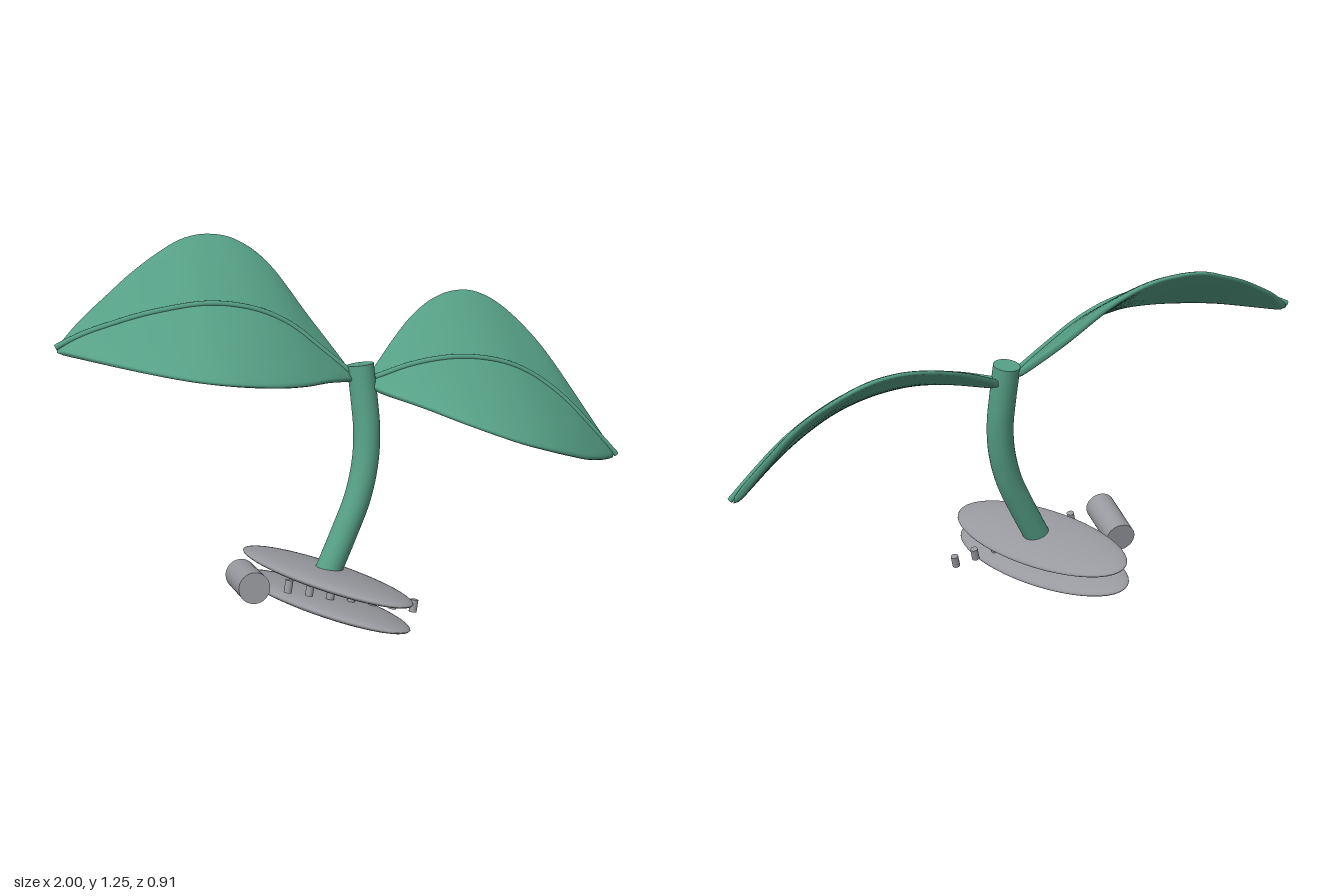
import * as THREE from 'three';

const V = (x, y, z) => new THREE.Vector3(x, y, z);
const UP = V(0, 1, 0);

// Edge rows from stem to tip: x, front y, front z, back y, back z
const LEFT_ROWS = [
  [0.98, 0.45, 0.04, 0.455, 0.035], [0.9, 0.48, 0.13, 0.62, -0.1], [0.8, 0.52, 0.225, 0.81, -0.26],
  [0.7, 0.565, 0.295, 0.93, -0.375], [0.6, 0.607, 0.34, 0.99, -0.41], [0.5, 0.645, 0.355, 1.003, -0.395],
  [0.4, 0.683, 0.335, 0.985, -0.35], [0.3, 0.718, 0.28, 0.945, -0.275], [0.2, 0.748, 0.18, 0.89, -0.175],
  [0.1, 0.77, 0.06, 0.825, -0.07], [0.055, 0.785, -0.01, 0.795, -0.03],
].reverse();
const RIGHT_ROWS = [
  [0.01, 0.805, -0.01, 0.815, -0.03], [-0.1, 0.84, 0.1, 0.99, -0.22], [-0.2, 0.86, 0.19, 1.15, -0.37],
  [-0.3, 0.88, 0.255, 1.23, -0.435], [-0.4, 0.9, 0.293, 1.255, -0.45], [-0.5, 0.918, 0.305, 1.247, -0.425],
  [-0.6, 0.932, 0.28, 1.21, -0.37], [-0.7, 0.945, 0.225, 1.165, -0.295], [-0.8, 0.957, 0.15, 1.11, -0.21],
  [-0.9, 0.965, 0.05, 1.05, -0.13], [-0.99, 0.972, -0.045, 0.98, -0.055],
];

// Curved plate with rounded rims plus a raised midrib
function makeLeaf(name, rows, ribStart, ribEnd, material) {
  const N = 64, M = 48, T = 0.015;
  const spline = (pts) => new THREE.CatmullRomCurve3(pts, false, 'catmullrom', 0.5);
  const front = spline(rows.map((r) => V(r[0], r[1], r[2])));
  const back = spline(rows.map((r) => V(r[0], r[3], r[4])));
  const across = V(0, 0.43, -0.9);
  const flip = rows[0][0] > rows[rows.length - 1][0];
  const pos = [], index = [], ribPts = [];
  for (let i = 0; i <= N; i++) {
    const t = i / N;
    const f = front.getPoint(t), b = back.getPoint(t);
    const normal = front.getTangent(t).add(back.getTangent(t)).cross(across).normalize();
    if (normal.y < 0) normal.negate();
    const thick = T * Math.pow(Math.max(0, 1 - Math.pow(Math.abs(2 * t - 1), 24)), 0.5);
    for (let j = 0; j < M; j++) {
      const a = (j / M) * Math.PI * 2, s = Math.sin(a);
      const h = thick * Math.sign(s) * Math.pow(Math.abs(s), 0.45);
      const p = f.clone().lerp(b, 0.5 - 0.5 * Math.cos(a)).addScaledVector(normal, h);
      pos.push(p.x, p.y, p.z);
      if (i < N) {
        const k = (j + 1) % M;
        const A = i * M + j, B = A + M, C = i * M + k, D = C + M;
        if (flip) index.push(A, C, B, B, C, D);
        else index.push(A, B, C, B, D, C);
      }
    }
    if (i % 4 === 0) {
      ribPts.push(f.clone().lerp(b, ribStart + (ribEnd - ribStart) * t).addScaledVector(normal, T));
    }
  }
  const geo = new THREE.BufferGeometry();
  geo.setAttribute('position', new THREE.Float32BufferAttribute(pos, 3));
  geo.setIndex(index);
  geo.computeVertexNormals();

  const group = new THREE.Group();
  group.name = name;
  const blade = new THREE.Mesh(geo, material);
  blade.name = 'leafBlade';
  const rib = new THREE.Mesh(new THREE.TubeGeometry(new THREE.CatmullRomCurve3(ribPts), 64, 0.01, 10), material);
  rib.name = 'midrib';
  group.add(blade, rib);
  return group;
}

// Cylinder between two points
function makeRod(name, a, b, radius, sides, material) {
  const dir = b.clone().sub(a);
  const mesh = new THREE.Mesh(new THREE.CylinderGeometry(radius, radius, dir.length(), sides), material);
  mesh.position.copy(a).add(b).multiplyScalar(0.5);
  mesh.quaternion.setFromUnitVectors(UP, dir.normalize());
  mesh.name = name;
  return mesh;
}

export function createModel() {
  const green = new THREE.MeshStandardMaterial({ color: 0x56a086 });
  green.name = 'leaf green';
  const grey = new THREE.MeshStandardMaterial({ color: 0x97999e });
  grey.name = 'metal grey';
  const model = new THREE.Group();
  model.name = 'sproutClip';

  // Leaves
  model.add(makeLeaf('leftLeaf', LEFT_ROWS, 0.6, 0.43, green));
  model.add(makeLeaf('rightLeaf', RIGHT_ROWS, 0.42, 0.6, green));

  // Stem with a flat top
  const path = new THREE.CatmullRomCurve3([
    V(-0.115, 0.15, 0.092), V(-0.05, 0.28, 0.07), V(0.005, 0.4, 0.051),
    V(0.038, 0.52, 0.032), V(0.049, 0.63, 0.015), V(0.045, 0.74, -0.003), V(0.036, 0.86, -0.021),
  ]);
  const stem = new THREE.Group();
  stem.name = 'stem';
  const tube = new THREE.Mesh(new THREE.TubeGeometry(path, 48, 0.047, 24), green);
  tube.name = 'stemTube';
  const cap = new THREE.Mesh(new THREE.CircleGeometry(0.047, 24), green);
  cap.name = 'stemTop';
  cap.position.copy(path.getPoint(1));
  cap.quaternion.setFromUnitVectors(V(0, 0, 1), path.getTangent(1));
  stem.add(tube, cap);
  model.add(stem);

  // Two flattened oval plates of the clip
  const normal = V(0.21, 1, -0.122).normalize();
  const long = V(0.5, 0, 0.866).cross(normal).cross(normal).negate().normalize();
  const basis = new THREE.Matrix4().makeBasis(long, normal, long.clone().cross(normal));
  const plates = { upperPlate: V(-0.125, 0.138, 0.095), lowerPlate: V(-0.14, 0.053, 0.11) };
  for (const [name, centre] of Object.entries(plates)) {
    const plate = new THREE.Mesh(new THREE.SphereGeometry(1, 48, 24), grey);
    plate.name = name;
    plate.quaternion.setFromRotationMatrix(basis);
    plate.scale.set(0.39, 0.031, 0.152);
    plate.position.copy(centre);
    model.add(plate);
  }

  // Hinge barrel
  model.add(makeRod('hingeBarrel', V(-0.405, 0.139, 0.0), V(-0.405, 0.174, 0.215), 0.054, 32, grey));

  // Row of small teeth
  for (let i = 0; i < 7; i++) {
    const c = V(-0.28 + 0.074 * i, 0.155 - 0.02 * i, 0.187 + 0.003 * i);
    const half = V(0.21, 1, -0.16).normalize().multiplyScalar(0.022);
    model.add(makeRod('tooth', c.clone().sub(half), c.clone().add(half), 0.014, 12, grey));
  }
  return model;
}
